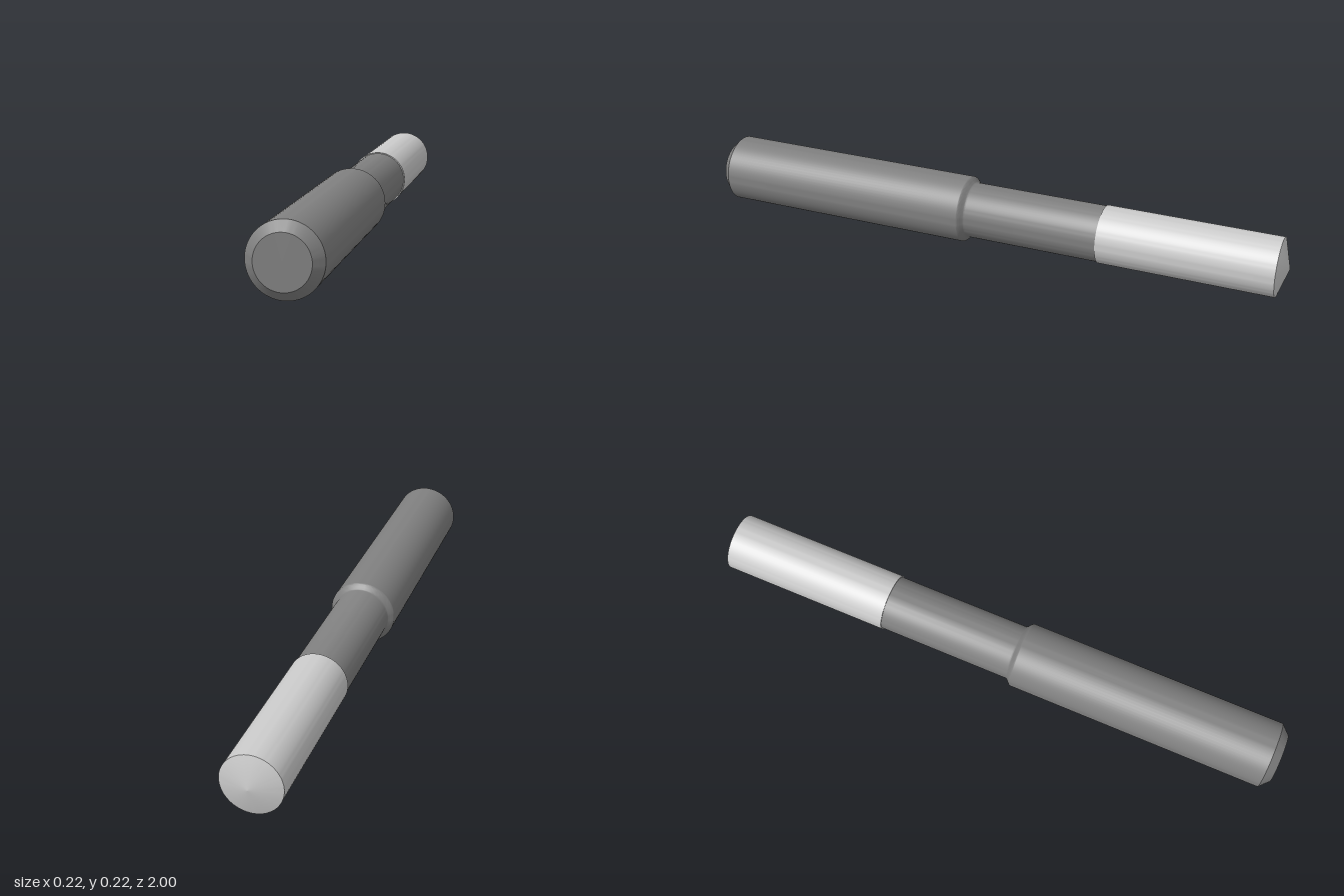
import * as THREE from 'three';
import { toCreasedNormals } from 'three/addons/utils/BufferGeometryUtils.js';

const AXIS_HEIGHT = 0.112;

// Turn a [radius, z] profile, listed back to front, around the z axis
function turned(name, profile, color) {
  const points = profile.map(([r, z]) => new THREE.Vector2(r, z));
  const lathe = new THREE.LatheGeometry(points, 72).rotateX(Math.PI / 2);
  const material = new THREE.MeshStandardMaterial({ color });
  const mesh = new THREE.Mesh(toCreasedNormals(lathe, 0.5), material);
  mesh.name = name;
  mesh.position.y = AXIS_HEIGHT;
  return mesh;
}

export function createModel() {
  const group = new THREE.Group();
  group.name = 'rotaryTool';
  const neckR = 0.0935, shankR = 0.112, cutR = 0.097;

  // Cutting section with a shallow conical tip
  group.add(turned('cuttingSection', [
    [0, -1], [cutR, -0.97], [cutR, -0.39], [neckR, -0.39],
  ], 0xcccccc));

  // Neck, softly blended into the thicker shank
  const shoulder = [];
  for (let i = 0; i <= 8; i++) {
    const t = i / 8;
    const s = t * t * (3 - 2 * t);
    shoulder.push([neckR + (shankR - neckR) * s, 0.067 + 0.023 * t]);
  }
  group.add(turned('neck', [[neckR, -0.39], ...shoulder], 0x808080));

  // Shank with a chamfered flat end
  group.add(turned('shank', [
    [shankR, 0.09], [shankR, 0.97], [0.082, 1], [0, 1],
  ], 0x808080));

  return group;
}
